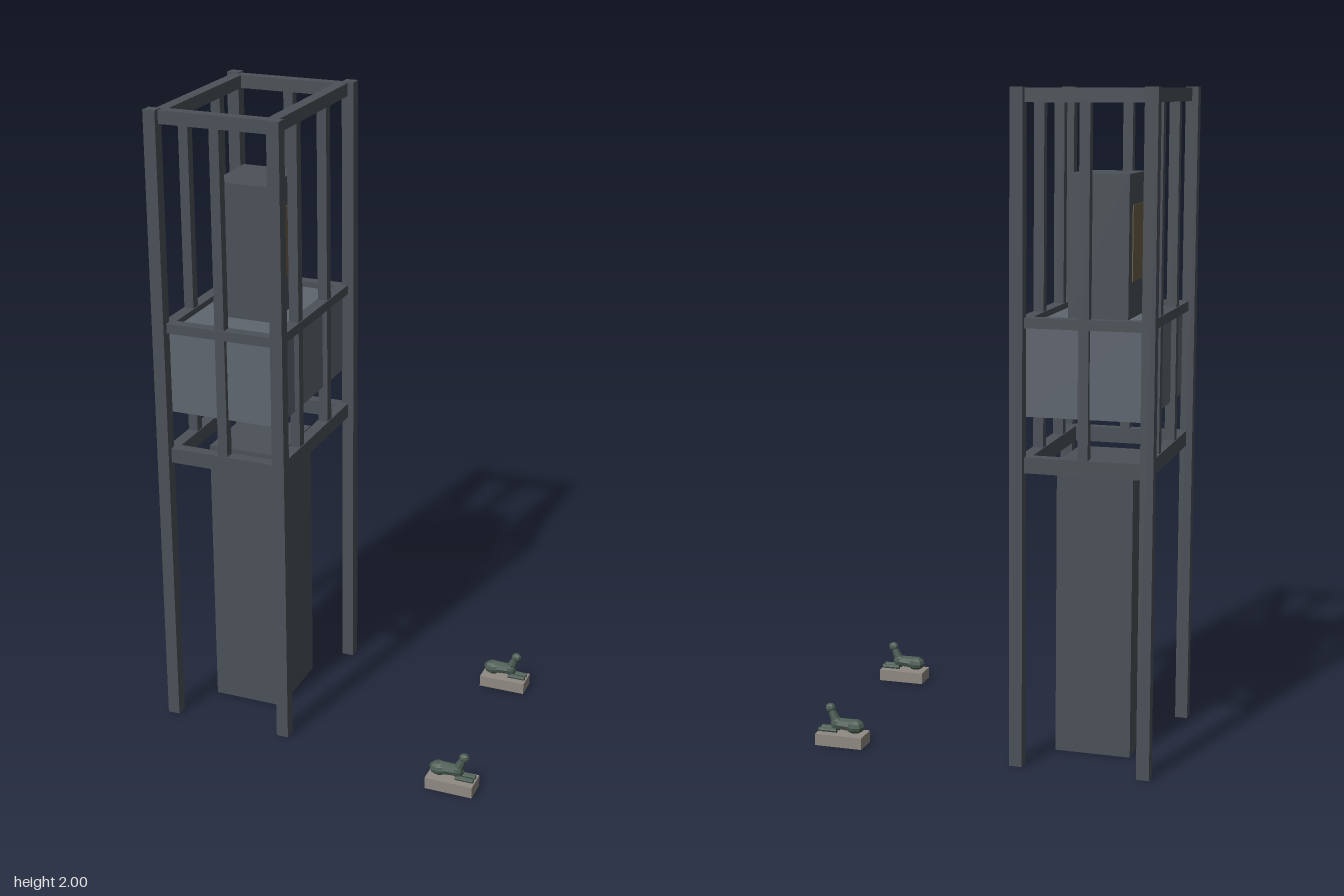
import * as THREE from 'three';

const paint = (color, flatShading = false) => {
  const m = new THREE.MeshStandardMaterial({ flatShading });
  m.color.set(color);
  return m;
};

export function createModel() {
  const steel = paint(0x4b5158), cladding = paint(0x5f666f), amber = paint(0x6b5c48);
  const stone = paint(0x8f8a82), bronze = paint(0x4b5c53, true);
  const model = new THREE.Group();

  const add = (parent, name, geometry, material, x, y, z) => {
    const mesh = new THREE.Mesh(geometry, material);
    mesh.name = name;
    mesh.position.set(x, y, z);
    parent.add(mesh);
    return mesh;
  };
  // Box given by its footprint and its bottom and top heights
  const block = (parent, name, w, d, y0, y1, x, z, material) =>
    add(parent, name, new THREE.BoxGeometry(w, y1 - y0, d), material, x, (y0 + y1) / 2, z);

  // ---- Tower ----
  const tower = new THREE.Group();
  tower.name = 'tower';
  tower.position.set(-0.328, 0, -0.052);
  model.add(tower);
  const hx = 0.194, hz = 0.283;   // post centres
  const bx = 0.176, bz = 0.265;   // beam centres
  const beam = 0.037, bar = 0.031;

  for (const sx of [-1, 1]) for (const sz of [-1, 1])
    block(tower, 'cornerPost', 0.039, 0.039, 0, 2, sx * hx, sz * hz, steel);

  // Three rings of horizontal beams
  for (const [y0, y1] of [[0.893, 0.94], [1.318, 1.348], [1.957, 1.997]]) {
    for (const s of [-1, 1]) {
      block(tower, 'crossBeam', 2 * bx + beam, beam, y0, y1, 0, s * bz, steel);
      block(tower, 'sideBeam', beam, 2 * bz - beam, y0, y1, s * bx, 0, steel);
    }
  }

  // Slim uprights: one on the front and back, two on each side
  for (const s of [-1, 1]) {
    block(tower, 'frontMullion', bar, bar, 0.92, 1.97, 0, s * bz, steel);
    for (const z of [-0.112, 0.112])
      block(tower, 'sideMullion', bar, bar, 0.92, 1.97, s * bx, z, steel);
  }

  block(tower, 'cabin', 2 * bx, 2 * bz, 1.057, 1.33, 0, 0, cladding);
  block(tower, 'shaft', 0.233, 0.265, 0, 0.9, 0, 0, steel);
  block(tower, 'upperCore', 0.182, 0.223, 1.33, 1.753, 0, 0, steel);
  for (const s of [-1, 1])
    block(tower, 'corePanel', 0.004, 0.148, 1.438, 1.662, s * 0.092, 0.004, amber);

  // ---- Reclining statues ----
  const ball = (g, name, r, pos, scale) =>
    add(g, name, new THREE.SphereGeometry(r, 8, 6), bronze, ...pos).scale.set(...scale);
  // Tapered limb between two points in the statue's middle plane
  const limb = (g, name, r0, r1, a, b) => {
    const from = new THREE.Vector3(...a), to = new THREE.Vector3(...b);
    const dir = to.clone().sub(from);
    const mesh = add(g, name, new THREE.CylinderGeometry(r1, r0, dir.length(), 8), bronze,
      ...from.add(to).multiplyScalar(0.5).toArray());
    mesh.quaternion.setFromUnitVectors(new THREE.Vector3(0, 1, 0), dir.normalize());
  };

  for (const [x, z] of [[0.433, -0.3235], [0.464, 0.32]]) {
    const statue = new THREE.Group();
    statue.name = 'statue';
    statue.position.set(x, 0, z);
    model.add(statue);
    block(statue, 'plinth', 0.152, 0.075, 0, 0.037, 0, 0, stone);
    ball(statue, 'haunch', 0.026, [-0.042, 0.06, 0], [1.2, 0.86, 1]);
    limb(statue, 'torso', 0.021, 0.018, [-0.04, 0.062, 0], [0.018, 0.064, 0]);
    ball(statue, 'chest', 0.02, [0.018, 0.064, 0], [1, 1.1, 1]);
    limb(statue, 'neck', 0.016, 0.011, [0.018, 0.068, 0], [0.036, 0.108, 0]);
    ball(statue, 'head', 0.015, [0.038, 0.112, 0], [1.1, 1, 0.95]);
    for (const s of [-1, 1])
      limb(statue, 'foreleg', 0.008, 0.007, [0.014, 0.045, s * 0.012], [0.072, 0.044, s * 0.012]);
  }
  return model;
}
